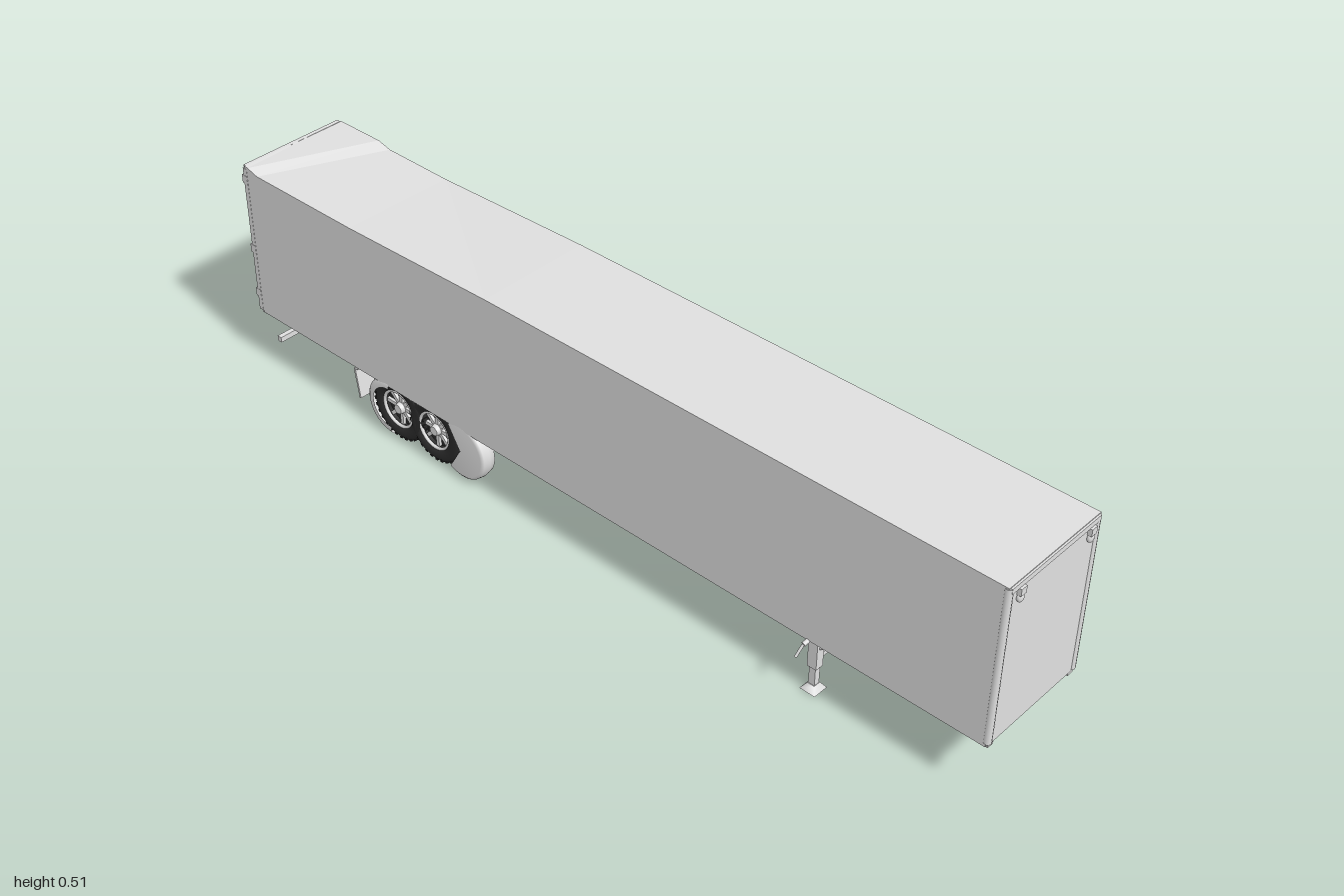
import * as THREE from 'three';

const paint = new THREE.MeshStandardMaterial({ color: 0xe0e0e0, side: THREE.DoubleSide });
paint.name = 'light grey paint';
const rubber = new THREE.MeshStandardMaterial({ color: 0x2b2b2b });
rubber.name = 'black rubber';

export function createModel() {
  const model = new THREE.Group();
  model.name = 'boxTrailer';

  const add = (name, geo, mat, parent = model) => {
    const m = new THREE.Mesh(geo, mat);
    m.name = name;
    parent.add(m);
    return m;
  };
  const box = (name, w, h, d, x, y, z, parent = model) => {
    const m = add(name, new THREE.BoxGeometry(w, h, d), paint, parent);
    m.position.set(x, y, z);
    return m;
  };
  // Round bar between two points
  const rod = (name, a, b, r, parent = model) => {
    const p = new THREE.Vector3(...a), q = new THREE.Vector3(...b);
    const m = add(name, new THREE.CylinderGeometry(r, r, p.distanceTo(q), 10), paint, parent);
    m.position.copy(p).add(q).multiplyScalar(0.5);
    m.quaternion.setFromUnitVectors(new THREE.Vector3(0, 1, 0), q.sub(p).normalize());
    return m;
  };

  // Cargo body: stations along z as [z left, z right, roof left, roof right]
  const stations = [
    [-0.985, -0.985, 0.507, 0.509], [-0.86, -0.975, 0.507, 0.508], [-0.825, -0.945, 0.498, 0.499],
    [-0.65, -0.65, 0.496, 0.498], [-0.25, -0.25, 0.506, 0.506], [0.985, 0.985, 0.508, 0.508],
  ];
  const n = stations.length - 1;
  const shell = new THREE.BoxGeometry(0.27, 1, 1, 1, 1, n);
  const pos = shell.attributes.position;
  for (let i = 0; i < pos.count; i++) {
    const s = stations[Math.round((pos.getZ(i) + 0.5) * n)];
    const k = pos.getX(i) > 0 ? 0 : 1;
    pos.setXYZ(i, pos.getX(i) - 0.002, pos.getY(i) > 0 ? s[2 + k] : 0.142, s[k]);
  }
  const flat = shell.toNonIndexed();
  flat.computeVertexNormals();
  add('cargoBody', flat, paint);

  // Corner posts, front header and lower rails
  for (const s of [-1, 1]) {
    const x = s * 0.129 - 0.002;
    rod('frontCornerPost', [x, 0.145, 0.981], [x, 0.505, 0.981], 0.008);
    box('rearCornerPost', 0.013, 0.362, 0.012, x, 0.322, -0.985);
    box('lowerRail', 0.008, 0.008, 1.96, s * 0.13 - 0.002, 0.14, 0);
    box('frontLamp', 0.016, 0.016, 0.012, s * 0.104, 0.487, 0.988);
    const lens = add('frontLampLens', new THREE.SphereGeometry(0.009, 12, 8), paint);
    lens.position.set(s * 0.104, 0.471, 0.988);
    lens.scale.set(1, 1.2, 0.7);
    box('frontCornerFoot', 0.016, 0.014, 0.016, s * 0.123, 0.139, 0.975);
    // Rear door hinges
    for (const y of [0.185, 0.3, 0.475]) {
      box('doorHinge', 0.012, 0.02, 0.016, s * 0.132, y, -0.988);
    }
  }
  box('frontHeader', 0.262, 0.012, 0.006, -0.002, 0.5, 0.986);
  box('rearHeader', 0.262, 0.012, 0.01, -0.002, 0.502, -0.988);
  box('rearSill', 0.262, 0.014, 0.014, -0.002, 0.139, -0.981);

  // Landing gear
  for (const s of [-1, 1]) {
    const leg = new THREE.Group();
    leg.name = 'landingLeg';
    model.add(leg);
    box('legSleeve', 0.02, 0.085, 0.022, s * 0.112, 0.1, 0.585, leg);
    box('legTube', 0.014, 0.055, 0.015, s * 0.112, 0.034, 0.585, leg);
    const foot = add('legFoot', new THREE.CylinderGeometry(0.012, 0.026, 0.014, 4, 1, false, Math.PI / 4), paint, leg);
    foot.position.set(s * 0.112, 0.007, 0.585);
    rod('sideBrace', [s * 0.1, 0.132, 0.585], [s * 0.05, 0.082, 0.585], 0.004, leg);
    rod('frontBrace', [s * 0.112, 0.1, 0.585], [s * 0.112, 0.14, 0.635], 0.004, leg);
    box('legBracket', 0.03, 0.012, 0.055, s * 0.112, 0.138, 0.585, leg);
  }
  box('legCrossBar', 0.21, 0.011, 0.011, 0, 0.078, 0.585);
  rod('crankShaft', [0.1, 0.083, 0.585], [0.16, 0.083, 0.585], 0.003);
  rod('crankArm', [-0.12, 0.14, 0.585], [-0.145, 0.13, 0.58], 0.005);
  rod('crankHandle', [-0.145, 0.13, 0.58], [-0.16, 0.106, 0.575], 0.003);

  // Sub-frame with a sloped underside
  const side = new THREE.Shape();
  [[0.09, 0.142], [0.095, 0.132], [0.32, 0.112], [0.32, 0.142]].forEach(([z, y], i) =>
    i ? side.lineTo(z, y) : side.moveTo(z, y));
  const plate = add('slopedPlate', new THREE.ExtrudeGeometry(side, { depth: 0.16, bevelEnabled: false }), paint);
  plate.rotation.y = Math.PI / 2;
  plate.position.x = -0.08;
  box('tiltedPlate', 0.108, 0.003, 0.12, 0, 0.099, -0.39).rotation.x = -0.18;
  for (const s of [-1, 1]) {
    box('frameRail', 0.014, 0.024, 0.65, s * 0.055, 0.129, -0.625);
    box('suspensionBeam', 0.014, 0.014, 0.26, s * 0.06, 0.095, -0.49);
    for (const z of [-0.37, -0.49, -0.61]) box('suspensionHanger', 0.012, 0.035, 0.02, s * 0.06, 0.108, z);
    for (const z of [-0.433, -0.545]) box('axleClamp', 0.012, 0.05, 0.022, s * 0.065, 0.068, z);
  }
  for (const z of [-0.49, -0.64, -0.77, -0.9]) box('crossMember', 0.12, 0.018, 0.012, 0, 0.13, z);
  rod('airTank', [-0.045, 0.108, -0.69], [0.045, 0.108, -0.69], 0.024);
  rod('airLine', [0.07, 0.13, -0.68], [0.07, 0.115, -0.8], 0.003);

  // Wheels, built along the axle with the outside face towards +x
  const lathe = (points, ...arc) =>
    new THREE.LatheGeometry(points.map(([r, h]) => new THREE.Vector2(r, h)), 36, ...arc).rotateZ(-Math.PI / 2);
  const tyreGeo = lathe([
    [0.046, -0.032], [0.068, -0.032], [0.076, -0.027], [0.0775, -0.015], [0.075, -0.005],
    [0.06, -0.002], [0.06, 0.002], [0.075, 0.005], [0.0775, 0.015], [0.076, 0.027],
    [0.068, 0.033], [0.046, 0.031], [0.044, 0.012], [0.044, -0.028], [0.046, -0.032],
  ]);
  const discGeo = new THREE.CylinderGeometry(0.045, 0.045, 0.03, 28).rotateZ(-Math.PI / 2);
  const rimGeo = new THREE.TorusGeometry(0.044, 0.004, 8, 32).rotateY(Math.PI / 2);
  const hubGeo = new THREE.CylinderGeometry(0.011, 0.016, 0.02, 16).rotateZ(-Math.PI / 2);
  const lugGeo = new THREE.BoxGeometry(0.022, 0.003, 0.007);

  const wheel = (s, z) => {
    const g = new THREE.Group();
    g.name = 'dualWheel';
    g.position.set(s * 0.1015, 0.0855, z);
    g.rotation.y = s > 0 ? 0 : Math.PI;
    model.add(g);
    add('dualTyre', tyreGeo, rubber, g);
    add('wheelDisc', discGeo, rubber, g);
    add('wheelRim', rimGeo, paint, g).position.x = 0.028;
    add('wheelHub', hubGeo, paint, g).position.x = 0.022;
    for (let i = 0; i < 8; i++) {
      const a = i * Math.PI / 4;
      const spoke = box('wheelSpoke', 0.008, 0.032, 0.009, 0.018, 0.028 * Math.cos(a), 0.028 * Math.sin(a), g);
      spoke.rotation.x = a;
    }
    // Shoulder tread blocks
    for (let i = 0; i < 30; i++) {
      const a = i * Math.PI / 15;
      const lug = add('treadBlock', lugGeo, rubber, g);
      lug.position.set(0.018, 0.0765 * Math.cos(a), 0.0765 * Math.sin(a));
      lug.rotation.x = a;
    }
  };

  // Rounded fenders: a solid one before the tyres, an open ring behind them
  const fender = (inner, start, length) => lathe([
    [inner, -0.02], [0.062, -0.02], [0.069, -0.015], [0.0715, 0], [0.069, 0.015], [0.062, 0.02], [inner, 0.02],
  ], start, length);
  const frontFender = fender(0.001, -2.1, 4.2);
  const rearFender = fender(0.05, Math.PI - 1.6, 3.2);
  for (const s of [-1, 1]) {
    for (const z of [-0.433, -0.545]) wheel(s, z);
    add('frontFender', frontFender, paint).position.set(s * 0.1165, 0.078, -0.35);
    add('rearFender', rearFender, paint).position.set(s * 0.1165, 0.078, -0.569);
    const flap = box('mudFlap', 0.045, 0.075, 0.005, s * 0.11, 0.09, -0.675);
    flap.rotation.x = -0.15;
    rod('flapArm', [s * 0.05, 0.13, -0.675], [s * 0.132, 0.13, -0.675], 0.005);
  }
  for (const z of [-0.433, -0.545]) rod('axle', [-0.1, 0.066, z], [0.1, 0.066, z], 0.009);

  // Rear underride guard
  box('rearGuardBar', 0.255, 0.013, 0.012, 0, 0.074, -0.945);
  for (const s of [-1, 1]) {
    box('rearGuardPost', 0.012, 0.065, 0.01, s * 0.065, 0.11, -0.94);
    rod('rearGuardBrace', [s * 0.065, 0.1, -0.938], [s * 0.065, 0.135, -0.87], 0.004);
  }
  return model;
}
